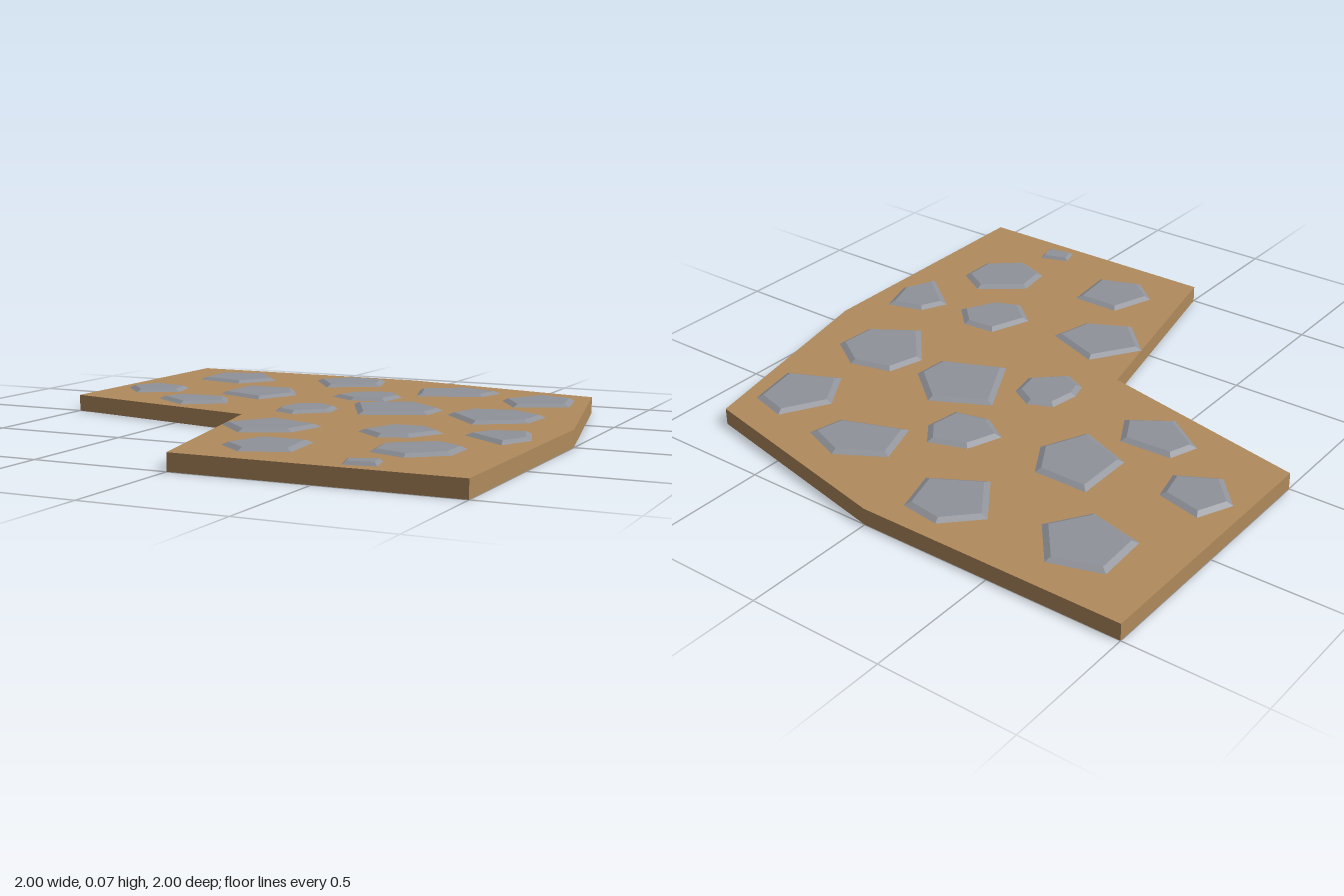
import * as THREE from 'three';

const GROUND_TOP = 0.062, STONE_TOP = 0.073;

// Plan outlines as x, z pairs, clockwise seen from above
const groundOutline = [-1, -1, 0, -1, 0.82, -0.82, 1, 0, 1, 1, 0, 1, -0.18, 0.18, -1, 0];

const backStones = [
  [-0.83, -0.83, -0.64, -0.89, -0.51, -0.73, -0.61, -0.58, -0.82, -0.63],
  [-0.36, -0.81, -0.24, -0.93, -0.09, -0.91, -0.04, -0.74, -0.23, -0.63],
  [0.14, -0.72, 0.31, -0.82, 0.47, -0.76, 0.44, -0.63, 0.20, -0.54],
  [0.54, -0.57, 0.64, -0.74, 0.79, -0.70, 0.83, -0.50, 0.64, -0.41],
];
const middleStones = [
  [-0.95, -0.28, -0.89, -0.41, -0.72, -0.37, -0.69, -0.24, -0.84, -0.16],
  [-0.52, -0.50, -0.31, -0.50, -0.23, -0.36, -0.31, -0.19, -0.52, -0.27],
  [-0.09, -0.39, -0.04, -0.52, 0.10, -0.57, 0.17, -0.48, 0.15, -0.35, 0.02, -0.32],
  [-0.67, -0.05, -0.63, -0.16, -0.43, -0.17, -0.36, -0.04, -0.51, 0.06],
  [-0.13, -0.01, -0.11, -0.12, -0.02, -0.16, 0.07, -0.11, 0.09, 0, -0.02, 0.10, -0.11, 0.06],
  [0.07, -0.24, 0.28, -0.35, 0.44, -0.22, 0.43, -0.09, 0.20, 0.01],
  [0.49, -0.13, 0.53, -0.27, 0.69, -0.31, 0.83, -0.22, 0.82, -0.06, 0.65, 0.05],
];
const frontStones = [
  [-0.13, 0.42, -0.01, 0.24, 0.21, 0.32, 0.17, 0.48, 0.01, 0.56],
  [0.36, 0.36, 0.42, 0.20, 0.55, 0.19, 0.64, 0.28, 0.57, 0.41, 0.47, 0.45],
  [0.71, 0.28, 0.76, 0.18, 0.90, 0.14, 0.95, 0.29, 0.89, 0.42],
  [0.54, 0.58, 0.70, 0.46, 0.82, 0.53, 0.82, 0.67, 0.70, 0.77, 0.56, 0.72],
  [0.08, 0.80, 0.14, 0.63, 0.33, 0.63, 0.35, 0.83, 0.19, 0.89],
  [0.56, 0.89, 0.67, 0.85, 0.69, 0.94, 0.58, 0.96],
];

function toPoints(flat) {
  const pts = [];
  for (let i = 0; i < flat.length; i += 2) pts.push(new THREE.Vector2(flat[i], flat[i + 1]));
  return pts;
}

// Move every edge inward by d and mitre the corners
function inset(pts, d) {
  const n = pts.length;
  const normals = pts.map((p, i) => {
    const e = pts[(i + 1) % n].clone().sub(p).normalize();
    return new THREE.Vector2(-e.y, e.x);
  });
  return pts.map((p, i) => {
    const a = normals[(i + n - 1) % n], b = normals[i];
    return p.clone().addScaledVector(a.clone().add(b), d / (1 + a.dot(b)));
  });
}

// Flat stone: sloping rim up to a smaller top face
function stoneGeometry(outer, bevel) {
  const top = inset(outer, bevel), n = outer.length;
  const low = (i) => [outer[i % n].x, GROUND_TOP - 0.001, outer[i % n].y];
  const high = (i) => [top[i % n].x, STONE_TOP, top[i % n].y];
  const pos = [];
  for (let i = 0; i < n; i++) {
    pos.push(...low(i), ...high(i), ...high(i + 1));
    pos.push(...low(i), ...high(i + 1), ...low(i + 1));
    if (i > 0 && i < n - 1) pos.push(...high(0), ...high(i + 1), ...high(i));
  }
  const geo = new THREE.BufferGeometry();
  geo.setAttribute('position', new THREE.Float32BufferAttribute(pos, 3));
  geo.computeVertexNormals();
  return geo;
}

export function createModel() {
  const model = new THREE.Group();
  model.name = 'pavedPathCorner';
  const earth = new THREE.MeshStandardMaterial({ color: 0xb08a5c });
  const rock = new THREE.MeshStandardMaterial({ color: 0x8f9299, flatShading: true });

  // Earth slab
  const shape = new THREE.Shape(toPoints(groundOutline).map((p) => new THREE.Vector2(p.x, -p.y)));
  const slab = new THREE.ExtrudeGeometry(shape, { depth: GROUND_TOP, bevelEnabled: false });
  slab.rotateX(-Math.PI / 2);
  const ground = new THREE.Mesh(slab, earth);
  ground.name = 'ground';
  model.add(ground);

  // Paving stones, by area
  for (const [name, list] of Object.entries({ backStones, middleStones, frontStones })) {
    const group = new THREE.Group();
    group.name = name;
    for (const flat of list) {
      const bevel = flat.length === 8 ? 0.012 : 0.022;
      const stone = new THREE.Mesh(stoneGeometry(toPoints(flat), bevel), rock);
      stone.name = 'stone';
      group.add(stone);
    }
    model.add(group);
  }
  return model;
}
